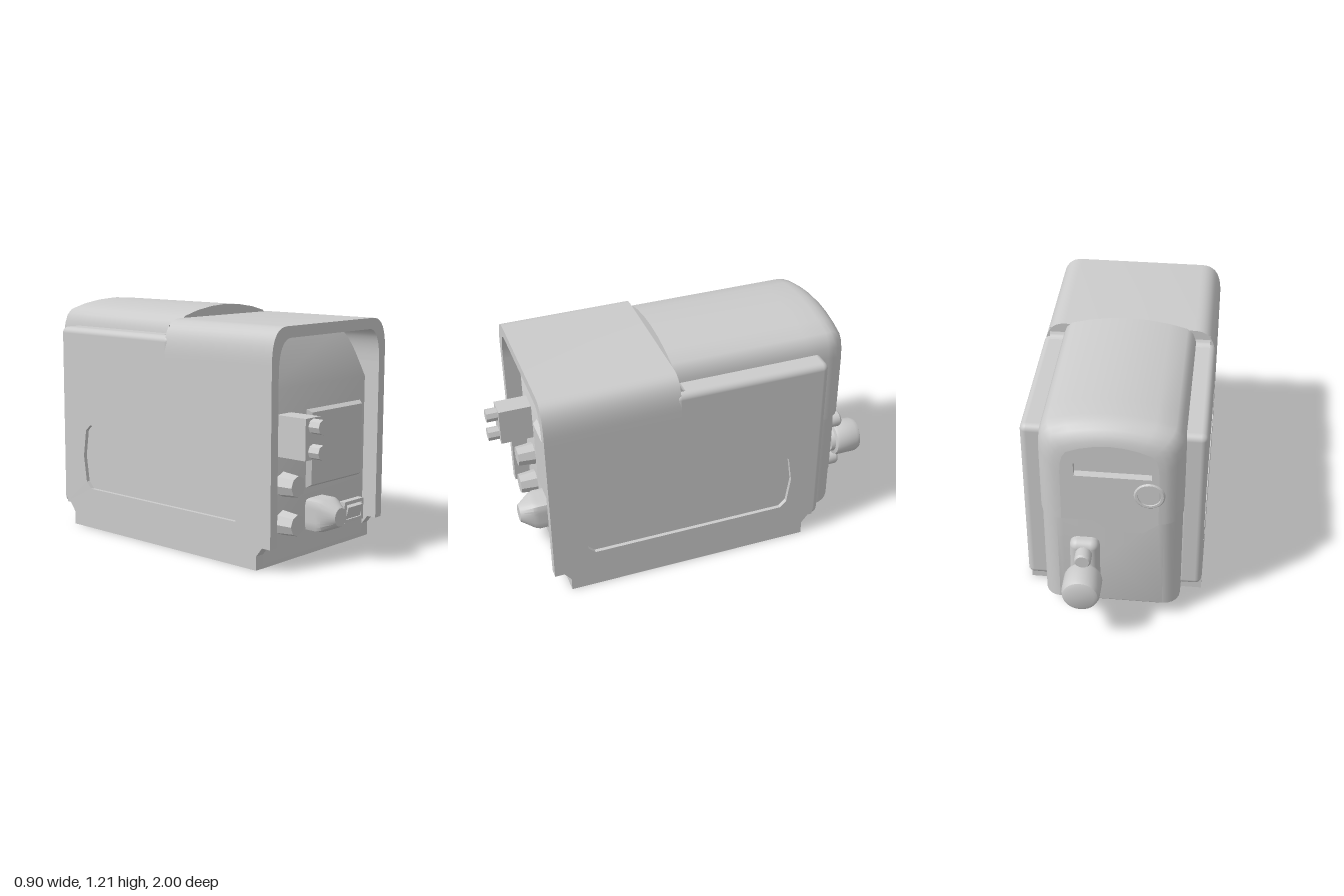
import * as THREE from 'three';
import { toCreasedNormals } from 'three/addons/utils/BufferGeometryUtils.js';
import { RoundedBoxGeometry } from 'three/addons/geometries/RoundedBoxGeometry.js';

const grey = new THREE.MeshStandardMaterial({ color: 0xcccccc });
const V2 = (p) => new THREE.Vector2(p[0], p[1]);
const poly = (pts) => new THREE.Shape(pts.map(V2));
const rect = (x0, x1, y0, y1) => poly([[x0, y0], [x1, y0], [x1, y1], [x0, y1]]);

// Extrude an xy shape from z0 to z1
function slab(shape, z0, z1) {
  const g = new THREE.ExtrudeGeometry(shape, { depth: z1 - z0, bevelEnabled: false, curveSegments: 10 });
  return toCreasedNormals(g.translate(0, 0, z0), 0.5);
}

// Extrude a shape drawn in (z, y) from x0 to x1
function sideSlab(shape, x0, x1) {
  return slab(shape, -x1, -x0).rotateY(-Math.PI / 2);
}

// Box given by its limits
function box(x0, x1, y0, y1, z0, z1) {
  return new THREE.BoxGeometry(x1 - x0, y1 - y0, z1 - z0)
    .translate((x0 + x1) / 2, (y0 + y1) / 2, (z0 + z1) / 2);
}

function roundedBox(x0, x1, y0, y1, z0, z1, r) {
  return new RoundedBoxGeometry(x1 - x0, y1 - y0, z1 - z0, 4, r)
    .translate((x0 + x1) / 2, (y0 + y1) / 2, (z0 + z1) / 2);
}

// Rectangular frame with an opening inset by t
function frame(x0, x1, y0, y1, t, z0, z1) {
  const s = rect(x0, x1, y0, y1);
  s.holes.push(rect(x0 + t, x1 - t, y0 + t, y1 - t));
  return slab(s, z0, z1);
}

// Skin over rings of [x, y, z], counter-clockwise from +z, ordered front to back
function loft(rings, crease, backCap = true) {
  const n = rings[0].length, pos = rings.flat(2), idx = [];
  for (let i = 0; i < rings.length - 1; i++) {
    for (let j = 0; j < n; j++) {
      const k = (j + 1) % n, a = i * n + j, b = i * n + k;
      idx.push(a, a + n, b, b, a + n, b + n);
    }
  }
  const cap = (ring, base, front) => {
    const c = pos.length / 3;
    for (let k = 0; k < 3; k++) pos.push(ring.reduce((s, p) => s + p[k], 0) / n);
    for (let j = 0; j < n; j++) {
      const a = base + j, b = base + (j + 1) % n;
      idx.push(c, front ? a : b, front ? b : a);
    }
  };
  cap(rings[0], 0, true);
  if (backCap) cap(rings.at(-1), (rings.length - 1) * n, false);
  const g = new THREE.BufferGeometry();
  g.setAttribute('position', new THREE.Float32BufferAttribute(pos, 3));
  g.setIndex(idx);
  return toCreasedNormals(g, crease);
}

// Rear body cross-section: straight bottom, arched top
const ARCH = [[1, 0.17], [0.985, 0.115], [0.94, 0.073], [0.86, 0.046], [0.6, 0.022], [0.3, 0.006], [0, 0]];
const FLAT = [[1, 0], [0, 0]];
function bodyRing(w, y0, y1, z, profile) {
  const right = profile.map(([f, d]) => [f * w, y1 - d, z]);
  const left = right.slice(0, -1).reverse().map(([x, y]) => [-x, y, z]);
  return [[-w, y0, z], [w, y0, z], ...right, ...left];
}

export function createModel() {
  const model = new THREE.Group();
  const add = (name, g, mat = grey) => {
    const m = new THREE.Mesh(g, mat);
    m.name = name;
    model.add(m);
    return m;
  };

  // Hood arch over the front half
  const arch = new THREE.Shape();
  arch.moveTo(0.45, 0.93);
  arch.lineTo(0.45, 0.98);
  arch.bezierCurveTo(0.45, 1.09, 0.42, 1.155, 0.34, 1.155);
  arch.lineTo(-0.34, 1.155);
  arch.bezierCurveTo(-0.42, 1.155, -0.45, 1.09, -0.45, 0.98);
  arch.lineTo(-0.45, 0.93);
  arch.lineTo(-0.4, 0.93);
  arch.bezierCurveTo(-0.4, 1.04, -0.37, 1.1, -0.31, 1.1);
  arch.lineTo(0.31, 1.1);
  arch.bezierCurveTo(0.37, 1.1, 0.4, 1.04, 0.4, 0.93);
  add('hood', slab(arch, 0.16, 0.85));

  // Side walls with a recessed long pocket, shoulders and rear posts
  const pocket = [[0.63, 0.56], [0.665, 0.53], [0.69, 0.39], [0.665, 0.25], [0.63, 0.215],
    [-0.4, 0.215], [-0.435, 0.25], [-0.455, 0.39], [-0.435, 0.53], [-0.4, 0.56]];
  const wall = poly([[0.765, 0], [0.765, 0.07], [0.8, 0.115], [0.85, 0.115], [0.85, 0.93], [0.16, 0.93],
    [0.16, 1.035], [-0.595, 1.035], [-0.595, 0.115], [-0.57, 0.115], [-0.535, 0.07], [-0.535, 0]]);
  wall.holes.push(poly(pocket));
  const fillet = new THREE.Shape();
  fillet.moveTo(0.165, 1.05);
  fillet.lineTo(0.165, 1.125);
  fillet.quadraticCurveTo(0.16, 1.075, 0.115, 1.072);
  fillet.lineTo(0.115, 1.05);
  for (const s of [1, -1]) {
    const side = s > 0 ? 'left' : 'right';
    const span = (a, b) => (s > 0 ? [a, b] : [-b, -a]);
    add(side + 'Wall', sideSlab(wall, ...span(0.4, 0.45)));
    add(side + 'PocketFloor', sideSlab(poly(pocket), ...span(0.39, 0.43)));
    add(side + 'Shoulder', roundedBox(...span(0.31, 0.45), 0.95, 1.075, -0.63, 0.19, 0.033));
    add(side + 'RearPost', roundedBox(...span(0.32, 0.45), 0.11, 1.075, -0.63, -0.55, 0.033));
    add(side + 'ShoulderFillet', sideSlab(fillet, ...span(0.33, 0.42)));
  }

  // Rear sill under the body
  add('rearSill', sideSlab(poly([[-0.535, 0], [-0.535, 0.07], [-0.57, 0.115], [-0.61, 0.115],
    [-0.61, 0.14], [-0.515, 0.14], [-0.515, 0]]), -0.4, 0.4));

  // Recessed front panel, leaning back at the top
  add('frontPanel', sideSlab(poly([[0.765, 0], [0.765, 0.85], [0.63, 1.11], [0.61, 1.11], [0.74, 0.85], [0.74, 0]]), -0.401, 0.401));

  // Rear body: upper lid with rounded back
  const arc = [0, 1, 2, 3, 4, 5, 6].map((i) => (i / 6) * Math.PI / 2);
  const lidRings = [bodyRing(0.35, 1, 1.21, 0.16, ARCH), bodyRing(0.35, 1, 1.21, -0.55, ARCH)];
  for (const a of arc) {
    const c = 1 - Math.cos(a);
    lidRings.push(bodyRing(0.35 - 0.115 * c, 0.655, 1.21 - 0.1 * c, -0.67 - 0.12 * Math.sin(a), ARCH));
  }
  add('rearLid', loft(lidRings, 0.6, false));

  // Flat lid back with a recessed slot
  const lidBack = poly(lidRings.at(-1));
  lidBack.holes.push(rect(-0.17, 0.2, 0.925, 1));
  add('lidBack', new THREE.ShapeGeometry(lidBack).rotateY(Math.PI).translate(0, 0, -0.79));
  add('slotSides', frame(-0.21, 0.18, 0.915, 1.01, 0.01, -0.789, -0.74));
  add('slotFloor', box(-0.21, 0.18, 0.915, 1.01, -0.75, -0.735));
  add('lidTab', slab(poly([[0.1, 0.67], [0.08, 0.65], [0, 0.59], [-0.16, 0.59], [-0.24, 0.655], [-0.24, 0.67]]), -0.788, -0.72));

  // Rear body: lower cover, slightly set in
  const lowerRings = [bodyRing(0.345, 0.085, 0.66, -0.56, FLAT)];
  for (const a of arc) {
    const c = 1 - Math.cos(a);
    lowerRings.push(bodyRing(0.345 - 0.115 * c, 0.085 + 0.03 * c, 0.66, -0.66 - 0.115 * Math.sin(a), FLAT));
  }
  add('lowerCover', loft(lowerRings, 0.6));

  // Turned parts along z: dir +1 forward, -1 backward
  const turned = (name, profile, x, y, z, dir, sides = 28, crease = 0.6) => add(name,
    toCreasedNormals(new THREE.LatheGeometry(profile.map(V2), sides)
      .rotateX(dir * Math.PI / 2).translate(x, y, z), crease));

  // Round button on the lid
  turned('buttonRing', [[0.075, 0], [0.075, 0.085], [0.068, 0.092], [0.056, 0.092], [0.054, 0.075], [0, 0.075]], -0.19, 0.83, -0.705, -1);

  // Rear valve on its plate
  add('valvePlate', roundedBox(0.052, 0.198, 0.14, 0.53, -0.83, -0.73, 0.04));
  turned('valveKnob', [[0.065, 0], [0.07, 0.02], [0.09, 0.025], [0.095, 0.04], [0.095, 0.14], [0.086, 0.162], [0.07, 0.17], [0, 0.17]],
    0.125, 0.335, -0.83, -1);
  for (const y of [0.465, 0.205]) {
    turned('valveBolt', [[0.042, 0], [0.042, 0.055], [0.034, 0.065], [0, 0.065]], 0.125, y, -0.825, -1, 16);
  }

  // Connector block with two plugs
  add('connectorBlock', box(-0.31, -0.2, 0.53, 0.73, 0.75, 0.94));
  for (const y of [0.69, 0.57]) turned('plug', [[0.036, 0], [0.036, 0.07], [0, 0.07]], -0.254, y, 0.93, 1, 8, 0.3);

  // Two octagonal dials
  for (const y of [0.387, 0.198]) {
    turned('dial', [[0.062, 0], [0.053, 0.095], [0, 0.095]], -0.253, y, 0.762, 1, 8, 0.3);
  }

  // Bevelled screen
  const screen = new THREE.ExtrudeGeometry(rect(-0.065, 0.345, 0.355, 0.715),
    { depth: 0.01, bevelThickness: 0.025, bevelSize: 0.015, bevelSegments: 1 });
  add('screen', screen.translate(0, 0, 0.755));

  // Spout: square base blending into a round tip
  const spoutRing = (r, power, z) => Array.from({ length: 32 }, (_, i) => {
    const a = (i / 32) * Math.PI * 2, c = Math.cos(a), s = Math.sin(a);
    const k = r / (Math.abs(c) ** power + Math.abs(s) ** power) ** (1 / power);
    return [c * k, 0.203 + s * k, z];
  });
  add('spout', loft([spoutRing(0.046, 2, 0.922), spoutRing(0.053, 2, 0.912), spoutRing(0.077, 5, 0.855),
    spoutRing(0.081, 8, 0.83), spoutRing(0.081, 8, 0.75)], 0.5));

  // Rocker switch
  add('switchFrame', frame(0.2, 0.362, 0.11, 0.222, 0.018, 0.755, 0.8));
  const rocker = add('switchRocker', new THREE.BoxGeometry(0.122, 0.065, 0.04));
  rocker.position.set(0.281, 0.166, 0.783);
  rocker.rotation.x = 0.25;

  return model;
}
